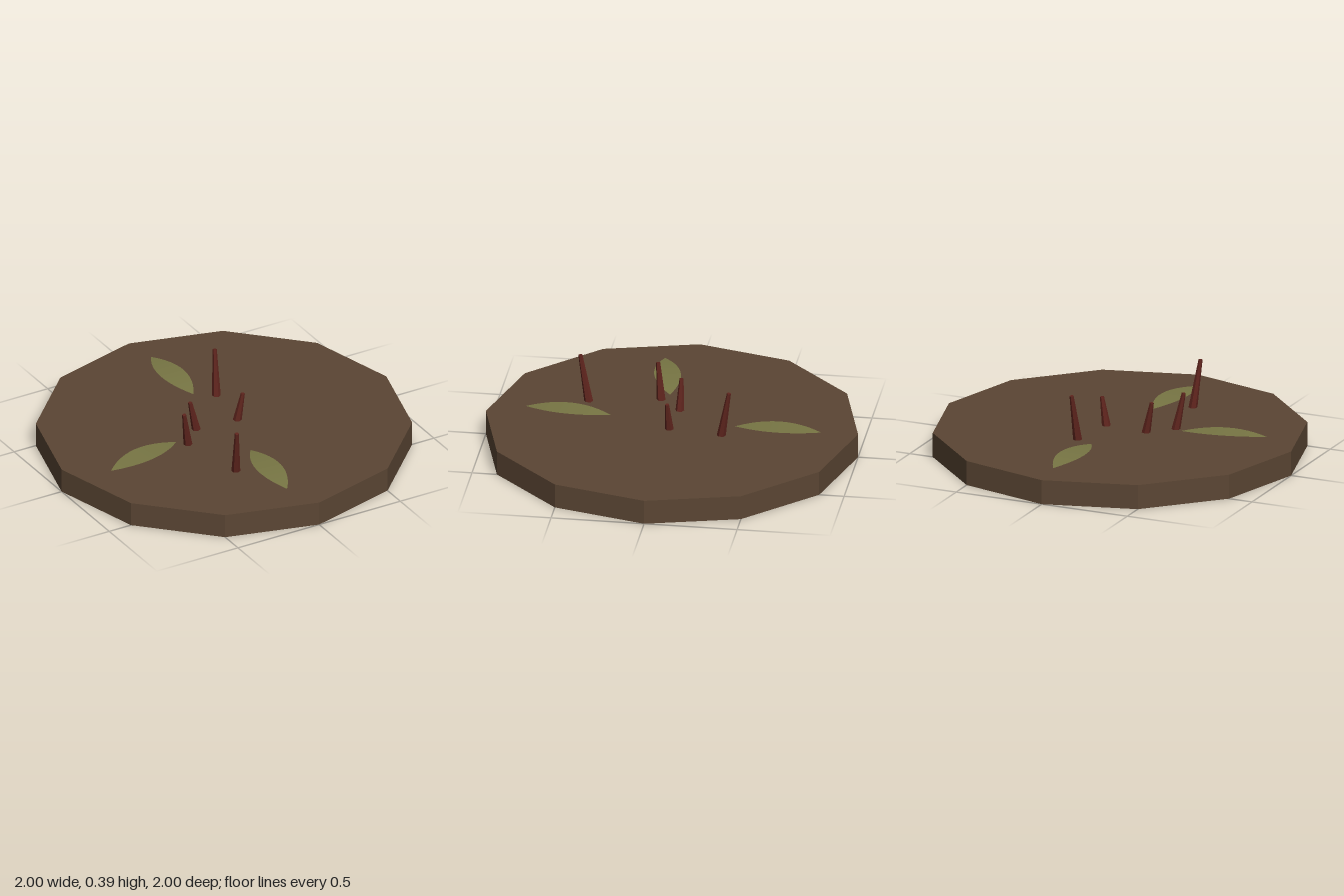
import * as THREE from 'three';

export function createModel() {
  const model = new THREE.Group();
  model.name = 'leafyStakeTrap';

  const mat = (name, color, extra = {}) => {
    const m = new THREE.MeshStandardMaterial({ color, flatShading: true, ...extra });
    m.name = name;
    return m;
  };
  const earth = mat('earth brown', 0x5b4634);
  const wood = mat('dark red wood', 0x5e241d);
  const leafGreen = mat('olive leaf', 0x787644, { side: THREE.DoubleSide });

  const add = (name, geometry, material) => {
    const mesh = new THREE.Mesh(geometry, material);
    mesh.name = name;
    model.add(mesh);
    return mesh;
  };

  // Twelve-sided ground slab
  const topY = 0.134;
  const slab = add('groundSlab', new THREE.CylinderGeometry(1, 1, topY, 12), earth);
  slab.position.y = topY / 2;

  // Leaning tapered stakes: base x, z, then tip x, y, z
  const up = new THREE.Vector3(0, 1, 0);
  [
    [-0.28, 0.10, -0.317, 0.333, 0.122],
    [-0.207, 0.478, -0.23, 0.39, 0.527],
    [-0.16, -0.018, -0.196, 0.304, -0.022],
    [0.08, 0.002, 0.11, 0.289, 0.01],
    [0.118, -0.282, 0.134, 0.388, -0.326],
  ].forEach(([bx, bz, tx, ty, tz], i) => {
    const base = new THREE.Vector3(bx, topY - 0.006, bz);
    const tip = new THREE.Vector3(tx, ty, tz);
    const axis = tip.clone().sub(base);
    const stake = add(`stake${i + 1}`, new THREE.CylinderGeometry(0.011, 0.024, axis.length(), 6), wood);
    stake.position.copy(base).lerp(tip, 0.5);
    stake.quaternion.setFromUnitVectors(up, axis.normalize());
  });

  // Pointed leaf sheet, arched along its length
  const leafGeometry = (length, width) => {
    const g = new THREE.PlaneGeometry(width, length, 2, 12).rotateX(-Math.PI / 2);
    const p = g.attributes.position;
    for (let i = 0; i < p.count; i++) {
      const s = (2 * p.getZ(i)) / length;
      p.setX(i, p.getX(i) * (1 - s * s));
      p.setY(i, 0.014 * (1 - s * s));
    }
    g.computeVertexNormals();
    return g;
  };

  // Leaves: inner tip x, z, then outer tip x, z
  [
    [-0.33, 0.06, -0.787, 0.155],
    [0.012, -0.34, 0.022, -0.805],
    [-0.033, 0.335, -0.078, 0.797],
  ].forEach(([ax, az, bx, bz], i) => {
    const leaf = add(`leaf${i + 1}`, leafGeometry(Math.hypot(bx - ax, bz - az), 0.142), leafGreen);
    leaf.position.set((ax + bx) / 2, topY + 0.007, (az + bz) / 2);
    leaf.rotation.y = Math.atan2(bx - ax, bz - az);
  });

  return model;
}
